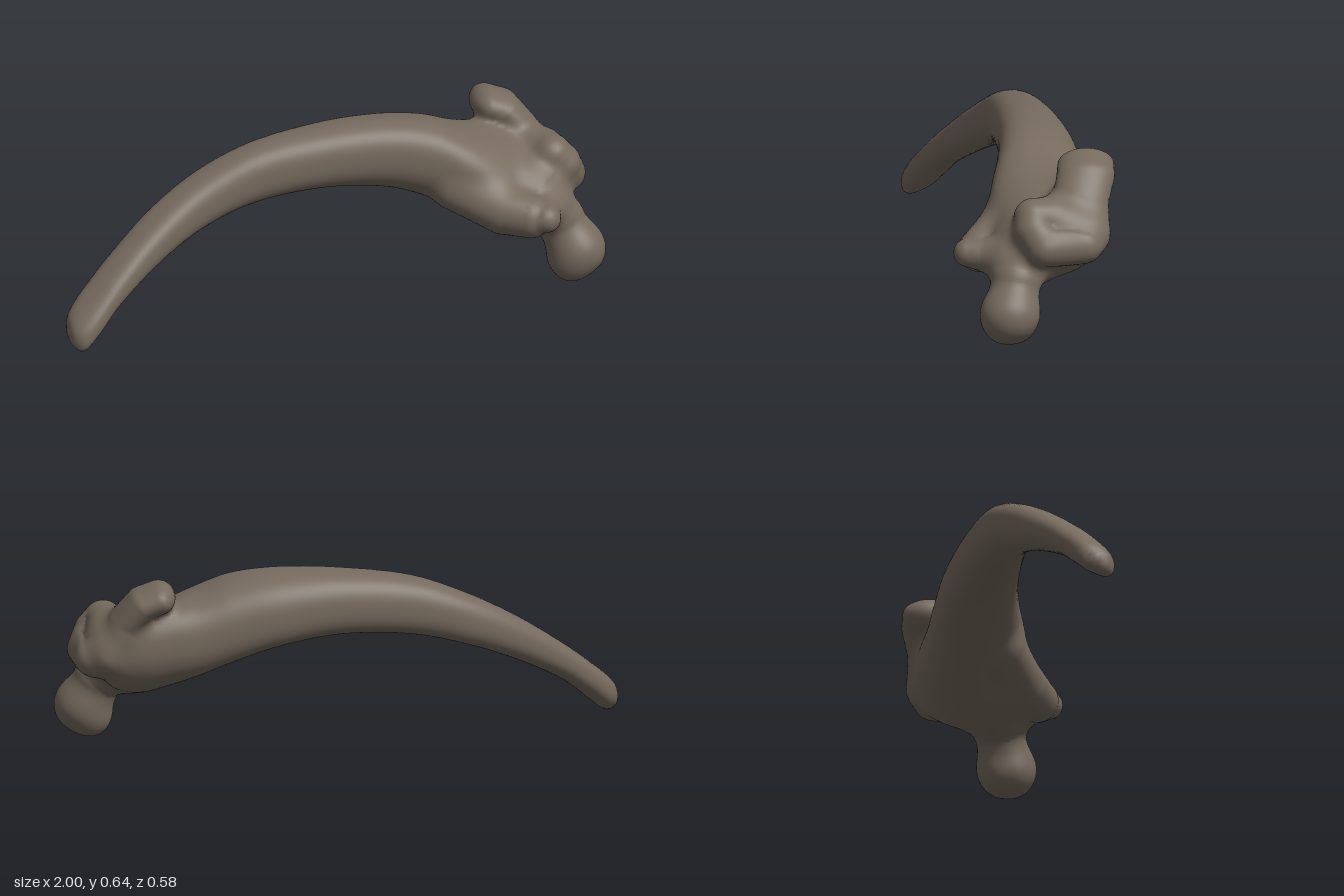
import * as THREE from 'three';

const bone = new THREE.MeshStandardMaterial({ color: 0x766a5e });
bone.name = 'brown bone';

const CELL = 0.014;   // grid spacing of the blended skin
const BLEND = 0.045;  // width of the fillets between parts
const MIN = [-1.05, -0.05, -0.35];
const COUNT = [150, 52, 51];

// Smoothly interpolates a list of equal-length number rows
function smoothRows(rows, steps = 6) {
  const out = [];
  const at = (i) => rows[Math.min(Math.max(i, 0), rows.length - 1)];
  for (let i = 0; i < rows.length - 1; i++) {
    for (let s = 0; s < steps; s++) {
      const t = s / steps;
      out.push(at(i).map((p1, k) => {
        const p0 = at(i - 1)[k], p2 = at(i + 1)[k], p3 = at(i + 2)[k];
        const m1 = (p2 - p0) / 2, m2 = (p3 - p1) / 2;
        return p1 + t * (m1 + t * (3 * (p2 - p1) - 2 * m1 - m2 + t * (2 * (p1 - p2) + m1 + m2)));
      }));
    }
  }
  out.push(at(rows.length - 1));
  return out;
}

// Distance to upright oval slices: x, bottom, top, back, front, slant
function slices(rows) {
  const fine = smoothRows(rows);
  const last = fine.length - 1;
  const power = 2.45;
  return (x, y, z) => {
    const cx = Math.min(Math.max(x, fine[0][0]), fine[last][0]);
    let i = 0;
    while (i < last - 1 && fine[i + 1][0] < cx) i++;
    const t = (cx - fine[i][0]) / (fine[i + 1][0] - fine[i][0]);
    const [, yb, yt, zb, zf, slant] = fine[i].map((v, k) => v + (fine[i + 1][k] - v) * t);
    const dy = y - (yb + yt) / 2, dz = z - (zb + zf) / 2;
    const u = dz / ((zf - zb) / 2);
    const v = (dy / ((yt - yb) / 2) + u * Math.sin(slant)) / Math.cos(slant);
    const q = Math.max(Math.pow(Math.pow(Math.abs(u), power) + Math.pow(Math.abs(v), power), 1 / power), 1e-4);
    const d = Math.hypot(dy, dz) * (1 - 1 / q);
    return x === cx ? d : Math.hypot(Math.max(d, 0), x - cx);
  };
}

// Distance to a tapering limb through points x, y, z, radius, widened along z
function limb(points, widen = 1) {
  return (x, y, z) => {
    let best = Infinity;
    for (let i = 0; i < points.length - 1; i++) {
      const [ax, ay, az, ar] = points[i], [bx, by, bz, br] = points[i + 1];
      const ex = bx - ax, ey = by - ay, ez = (bz - az) / widen;
      const px = x - ax, py = y - ay, pz = (z - az) / widen;
      const t = Math.min(Math.max((px * ex + py * ey + pz * ez) / (ex * ex + ey * ey + ez * ez), 0), 1);
      best = Math.min(best, Math.hypot(px - ex * t, py - ey * t, pz - ez * t) - ar - (br - ar) * t);
    }
    return best;
  };
}

const parts = {
  // Arched shaft widening into the joint block
  shaft: slices([
    [-1.0, 0.05, 0.07, 0.2, 0.22, 0.3],
    [-0.988, 0.022, 0.11, 0.158, 0.257, 0.4],
    [-0.955, 0.008, 0.15, 0.13, 0.28, 0.5],
    [-0.9, 0.052, 0.2, 0.1, 0.268, 0.5],
    [-0.8, 0.142, 0.285, 0.05, 0.22, 0.4],
    [-0.63, 0.245, 0.41, -0.03, 0.142, 0.25],
    [-0.45, 0.325, 0.51, -0.09, 0.085, 0.1],
    [-0.25, 0.38, 0.585, -0.125, 0.062, 0],
    [0.0, 0.395, 0.62, -0.165, 0.06, -0.05],
    [0.22, 0.365, 0.625, -0.2, 0.07, -0.12],
    [0.38, 0.312, 0.605, -0.213, 0.095, -0.1],
    [0.5, 0.258, 0.562, -0.222, 0.13, 0],
    [0.6, 0.21, 0.53, -0.23, 0.15, 0.2],
    [0.7, 0.178, 0.5, -0.238, 0.14, 0.33],
    [0.79, 0.2, 0.48, -0.236, 0.1, 0.3],
    [0.86, 0.27, 0.44, -0.22, 0.06, 0.1],
    [0.91, 0.31, 0.4, -0.16, 0.02, 0],
  ]),
  // Forward spur, webbed back to the neck
  spur: limb([
    [0.46, 0.36, 0.05, 0.07],
    [0.62, 0.3, 0.13, 0.09],
    [0.7, 0.287, 0.19, 0.076],
    [0.745, 0.293, 0.236, 0.05],
    [0.755, 0.285, 0.17, 0.062],
    [0.79, 0.28, 0.11, 0.07],
  ]),
  // Hooked flange on the upper back
  hook: limb([
    [0.83, 0.37, -0.15, 0.056],
    [0.77, 0.475, -0.16, 0.058],
    [0.708, 0.55, -0.185, 0.06],
    [0.65, 0.574, -0.191, 0.058],
  ], 1.72),
  // Rounded knuckle and the ridge below it on the outer face
  knuckle: limb([
    [0.83, 0.44, 0.015, 0.068],
    [0.86, 0.4, 0.015, 0.072],
    [0.893, 0.345, -0.02, 0.066],
    [0.88, 0.345, -0.16, 0.062],
    [0.835, 0.37, -0.17, 0.066],
    [0.82, 0.432, -0.05, 0.072],
    [0.83, 0.44, 0.015, 0.068],
  ]),
  // Neck and ball head
  neck: limb([
    [0.745, 0.31, 0.03, 0.12],
    [0.838, 0.215, 0.075, 0.09],
    [0.885, 0.12, 0.1, 0.075],
  ]),
  ballHead: limb([
    [0.891, 0.102, 0.104, 0.098],
    [0.897, 0.106, 0.104, 0.098],
  ], 1.07),
  headRim: limb([
    [0.862, 0.058, 0.085, 0.054],
    [0.862, 0.058, 0.12, 0.054],
  ]),
};
const names = Object.keys(parts);

// Smooth union of all parts
function field(x, y, z) {
  let d = Infinity;
  for (const name of names) {
    const e = parts[name](x, y, z);
    const h = Math.max(BLEND - Math.abs(d - e), 0) / BLEND;
    d = Math.min(d, e) - h * h * BLEND / 4;
  }
  return d;
}

function gradient(x, y, z) {
  const e = 0.003;
  return new THREE.Vector3(
    field(x + e, y, z) - field(x - e, y, z),
    field(x, y + e, z) - field(x, y - e, z),
    field(x, y, z + e) - field(x, y, z - e),
  ).divideScalar(2 * e);
}

export function createModel() {
  const stride = [1, COUNT[0], COUNT[0] * COUNT[1]];
  const total = stride[2] * COUNT[2];
  const coords = (n) => [n % COUNT[0], Math.floor(n / stride[1]) % COUNT[1], Math.floor(n / stride[2])];
  const values = new Float32Array(total);
  for (let n = 0; n < total; n++) values[n] = field(...coords(n).map((c, k) => MIN[k] + c * CELL));

  // One skin point per crossed cell, pulled onto the blended surface
  const pos = [], nor = [], owner = [];
  const pointOf = new Map();
  const cellPoint = (n) => {
    if (pointOf.has(n)) return pointOf.get(n);
    const sum = new THREE.Vector3();
    let hits = 0;
    for (let axis = 0; axis < 3; axis++) {
      const u = (axis + 1) % 3, v = (axis + 2) % 3;
      for (let c = 0; c < 4; c++) {
        const a = n + (c & 1) * stride[u] + (c >> 1) * stride[v];
        const va = values[a], vb = values[a + stride[axis]];
        if ((va < 0) === (vb < 0)) continue;
        const p = coords(a);
        p[axis] += va / (va - vb);
        sum.add(new THREE.Vector3(...p));
        hits++;
      }
    }
    const p = sum.multiplyScalar(CELL / hits).add(new THREE.Vector3(...MIN));
    for (let i = 0; i < 2; i++) {
      const g = gradient(p.x, p.y, p.z);
      const move = g.multiplyScalar(-field(p.x, p.y, p.z) / Math.max(g.lengthSq(), 0.05));
      p.add(move.clampLength(0, CELL / 2));
    }
    const g = gradient(p.x, p.y, p.z).normalize();
    const near = names.map((name) => parts[name](p.x, p.y, p.z));
    pointOf.set(n, owner.length);
    owner.push(near.indexOf(Math.min(...near)));
    pos.push(p.x, p.y, p.z);
    nor.push(g.x, g.y, g.z);
    return owner.length - 1;
  };

  // Two triangles around each crossed grid edge, sorted by the nearest part
  const faces = names.map(() => []);
  for (let n = stride[1] + stride[2] + 1; n < total - stride[2] - stride[1] - 1; n++) {
    for (let axis = 0; axis < 3; axis++) {
      const inside = values[n] < 0;
      if (inside === (values[n + stride[axis]] < 0)) continue;
      const u = stride[(axis + 1) % 3], v = stride[(axis + 2) % 3];
      const [a, b, c, d] = [n - u - v, n - v, n, n - u].map(cellPoint);
      faces[owner[a]].push(...(inside ? [a, b, c, a, c, d] : [a, c, b, a, d, c]));
    }
  }

  const group = new THREE.Group();
  group.name = 'curvedBone';
  const position = new THREE.Float32BufferAttribute(pos, 3);
  const normal = new THREE.Float32BufferAttribute(nor, 3);
  names.forEach((name, i) => {
    const geo = new THREE.BufferGeometry();
    geo.setAttribute('position', position);
    geo.setAttribute('normal', normal);
    geo.setIndex(faces[i]);
    const mesh = new THREE.Mesh(geo, bone);
    mesh.name = name;
    group.add(mesh);
  });
  return group;
}
